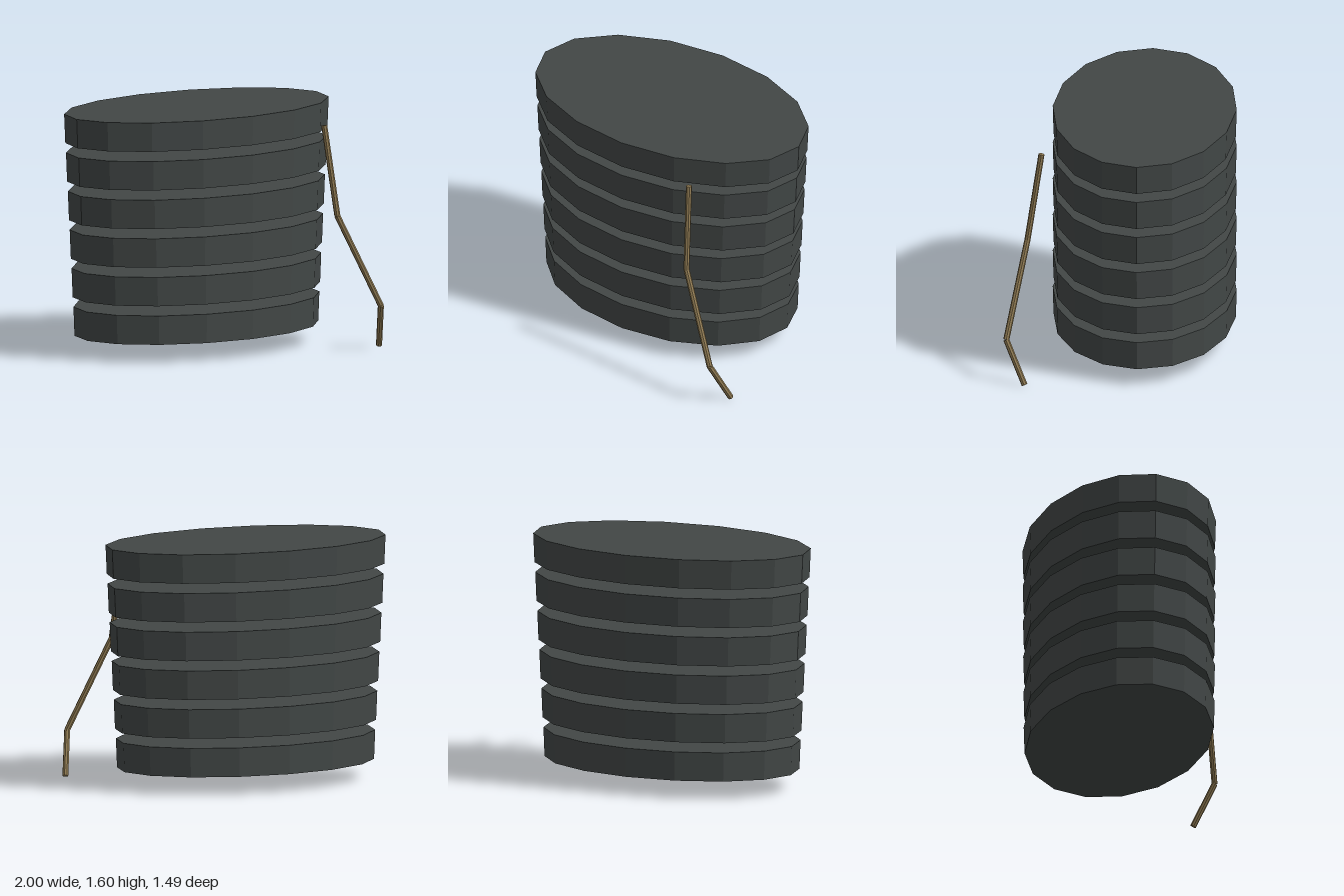
import * as THREE from 'three';

export function createModel() {
  const model = new THREE.Group();
  const slate = new THREE.MeshStandardMaterial({ name: 'dark slate', color: 0x424746, flatShading: true });
  const brass = new THREE.MeshStandardMaterial({ name: 'dull brass', color: 0x917c54, flatShading: true });

  // Stack of six separate oval slabs, widening towards the top
  const slabHeight = 0.193, pitch = 0.258, depth = 0.606;
  for (let i = 0; i < 6; i++) {
    const halfWidth = 0.915 + i * 0.0168;
    const slab = new THREE.Mesh(new THREE.CylinderGeometry(1, 0.991, slabHeight, 16), slate);
    slab.name = `slab${i + 1}`;
    slab.scale.set(halfWidth, 1, depth);
    slab.position.set(0, 0.122 + slabHeight / 2 + i * pitch, -0.139);
    model.add(slab);
  }

  // Bent rod in front of the stack, one straight piece per bend
  const rod = new THREE.Group();
  rod.name = 'bentRod';
  const bends = [
    [0.56, 1.497, 0.51],
    [0.6, 0.9, 0.6],
    [0.865, 0.295, 0.725],
    [0.947, 0.01, 0.6],
  ].map((p) => new THREE.Vector3(...p));
  const up = new THREE.Vector3(0, 1, 0);
  for (let i = 0; i < bends.length - 1; i++) {
    const along = bends[i].clone().sub(bends[i + 1]);
    const piece = new THREE.Mesh(new THREE.CylinderGeometry(0.02, 0.02, along.length(), 8), brass);
    piece.name = `rodPiece${i + 1}`;
    piece.position.copy(bends[i]).add(bends[i + 1]).multiplyScalar(0.5);
    piece.quaternion.setFromUnitVectors(up, along.normalize());
    rod.add(piece);
  }
  model.add(rod);
  return model;
}
